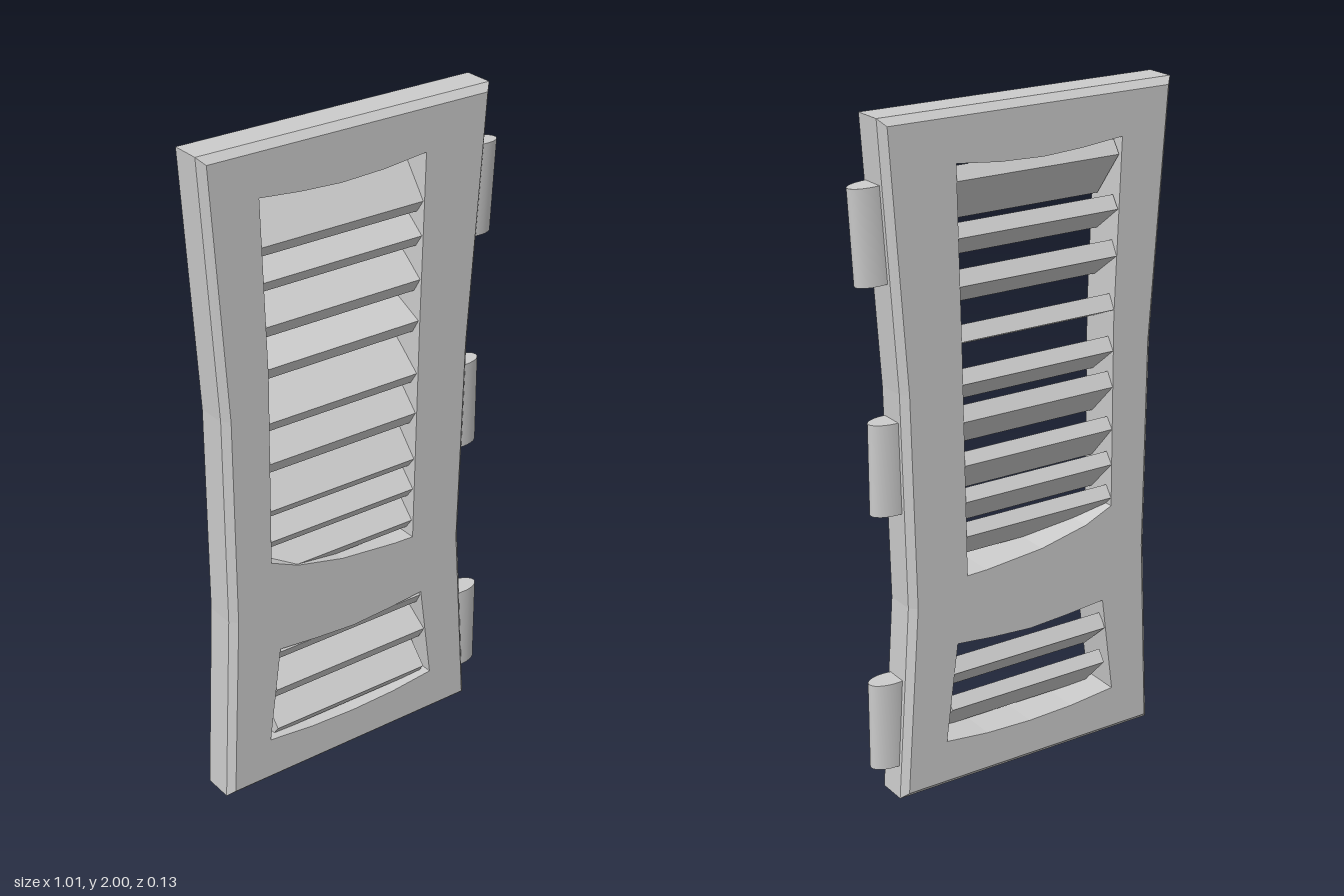
import * as THREE from 'three';

const material = new THREE.MeshStandardMaterial({ color: 0xcccccc, flatShading: true });
const smooth = new THREE.MeshStandardMaterial({ color: 0xcccccc });
const points = (list) => list.map(([x, y]) => new THREE.Vector2(x, y));

function addMesh(parent, geometry, mat, name) {
  const mesh = new THREE.Mesh(geometry, mat);
  mesh.name = name;
  parent.add(mesh);
  return mesh;
}

// Waisted panel with two openings; only its outer rim is chamfered
function frameGeometry() {
  const shape = new THREE.Shape(points([
    [-0.477, 0], [0.41, 0], [0.37, 0.6], [0.385, 1.24], [0.437, 2],
    [-0.505, 2], [-0.455, 1.24], [-0.45, 0.6],
  ]));
  shape.holes.push(
    new THREE.Path(points([
      [-0.33, 1.855], [-0.2, 1.842], [-0.07, 1.835], [0.07, 1.84], [0.21, 1.855],
      [0.197, 1.34], [0.185, 0.66], [0.12, 0.662], [-0.07, 0.68], [-0.225, 0.715],
      [-0.315, 0.755], [-0.312, 1.34],
    ])),
    new THREE.Path(points([
      [-0.29, 0.455], [-0.16, 0.443], [-0.03, 0.435], [0.1, 0.443], [0.22, 0.455],
      [0.26, 0.15], [0.12, 0.135], [-0.03, 0.13], [-0.18, 0.135], [-0.33, 0.15],
    ])),
  );
  const geometry = new THREE.ExtrudeGeometry(shape, { depth: 3, steps: 3, bevelEnabled: false });
  const layers = [-0.068, -0.048, 0.042, 0.062];
  const p = geometry.attributes.position;
  for (let i = 0; i < p.count; i++) {
    const x = p.getX(i), y = p.getY(i), layer = Math.round(p.getZ(i));
    const outer = Math.abs(x) > 0.36;
    if (outer && (layer === 0 || layer === 3)) {
      p.setX(i, x - Math.sign(x) * 0.02);
      if (y < 0.01) p.setY(i, 0.02);
      if (y > 1.99) p.setY(i, 1.98);
    }
    p.setZ(i, layers[layer]);
  }
  geometry.computeVertexNormals();
  return geometry;
}

// Slanted slat: low front edge, high back edge
function slatGeometry(x0, x1, bottom, rise, edge) {
  const front = 0.056, run = 0.098, lean = 0.025;
  const section = new THREE.Shape(points([
    [-front, bottom + edge],
    [-front + lean, bottom],
    [-front + run + lean, bottom + rise],
    [-front + run, bottom + rise + edge],
  ]));
  const geometry = new THREE.ExtrudeGeometry(section, { depth: x1 - x0, bevelEnabled: false });
  geometry.rotateY(Math.PI / 2);
  geometry.translate(x0, 0, 0);
  return geometry;
}

export function createModel() {
  const model = new THREE.Group();
  model.name = 'shutter';
  addMesh(model, frameGeometry(), material, 'frame');

  // Upper slats: bottom height, rise of the broad face, height of the front edge
  const upperSlats = new THREE.Group();
  upperSlats.name = 'upperSlats';
  model.add(upperSlats);
  [
    [1.676, 0.13, 0.037], [1.575, 0.075, 0.037], [1.44, 0.075, 0.042],
    [1.315, 0.043, 0.042], [1.155, 0.08, 0.038], [1.025, 0.1, 0.042],
    [0.885, 0.11, 0.033], [0.785, 0.1, 0.034], [0.68, 0.1, 0.034],
  ].forEach(([bottom, rise, edge]) => {
    const right = 0.185 + (bottom - 0.68) * 0.022;
    addMesh(upperSlats, slatGeometry(-0.32, right, bottom, rise, edge), material, 'upperSlat');
  });

  // Lower slats
  const lowerSlats = new THREE.Group();
  lowerSlats.name = 'lowerSlats';
  model.add(lowerSlats);
  [[0.4, 0.09, 0.04], [0.27, 0.09, 0.042], [0.14, 0.105, 0.034]].forEach(([bottom, rise, edge]) => {
    addMesh(lowerSlats, slatGeometry(-0.3, 0.24, bottom, rise, edge), material, 'lowerSlat');
  });

  // Oval hinge knuckles: centre x, centre y, tilt
  [[0.427, 1.685, -0.055], [0.39, 1.02, 0], [0.41, 0.235, 0]].forEach(([x, y, tilt]) => {
    const hinge = addMesh(model, new THREE.CylinderGeometry(0.036, 0.036, 0.27, 24), smooth, 'hinge');
    hinge.scale.x = 0.066 / 0.036;
    hinge.position.set(x, y, 0);
    hinge.rotation.z = tilt;
  });
  return model;
}
